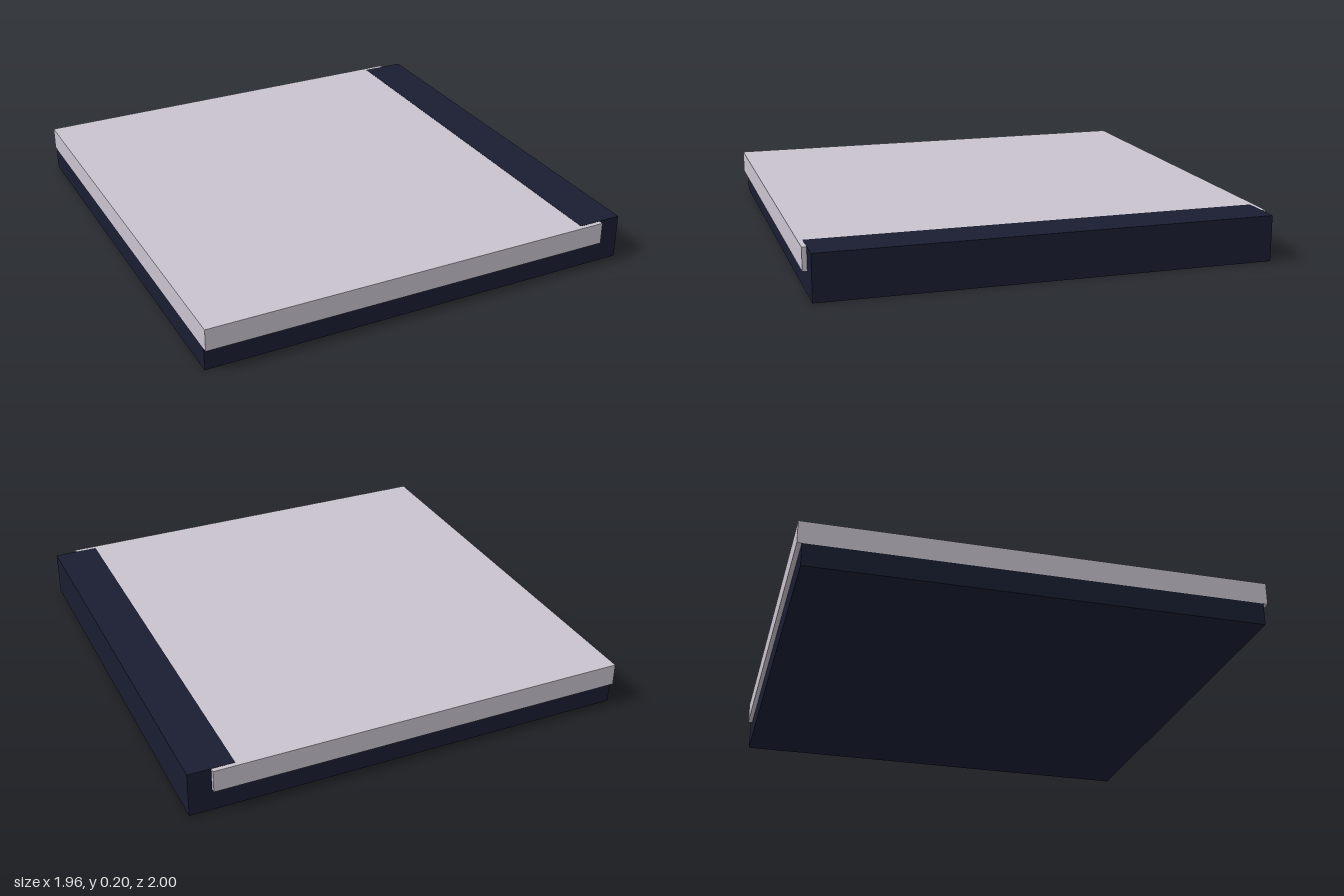
import * as THREE from 'three';

// Box given by its min and max corners
function box(name, min, max, color) {
  const size = max.map((v, i) => v - min[i]);
  const mesh = new THREE.Mesh(
    new THREE.BoxGeometry(...size),
    new THREE.MeshStandardMaterial({ color })
  );
  mesh.position.set(...max.map((v, i) => (v + min[i]) / 2));
  mesh.name = name;
  return mesh;
}

export function createModel() {
  const dark = 0x191d31;
  const pale = 0xc8c2cd;
  const group = new THREE.Group();
  group.name = 'steppedPanel';

  // Dark tray: flat base with a raised rail along its left edge
  group.add(box('base', [-0.98, 0, -0.98], [0.98, 0.1, 0.98], dark));
  group.add(box('sideRail', [0.78, 0.1, -0.98], [0.98, 0.2, 0.98], dark));

  // Pale slab resting on the base, tucked into the rail and overhanging front and back;
  // its top sits a hair lower so the rail shows cleanly
  group.add(box('slab', [-0.98, 0.1, -1], [0.88, 0.199, 1], pale));

  return group;
}
